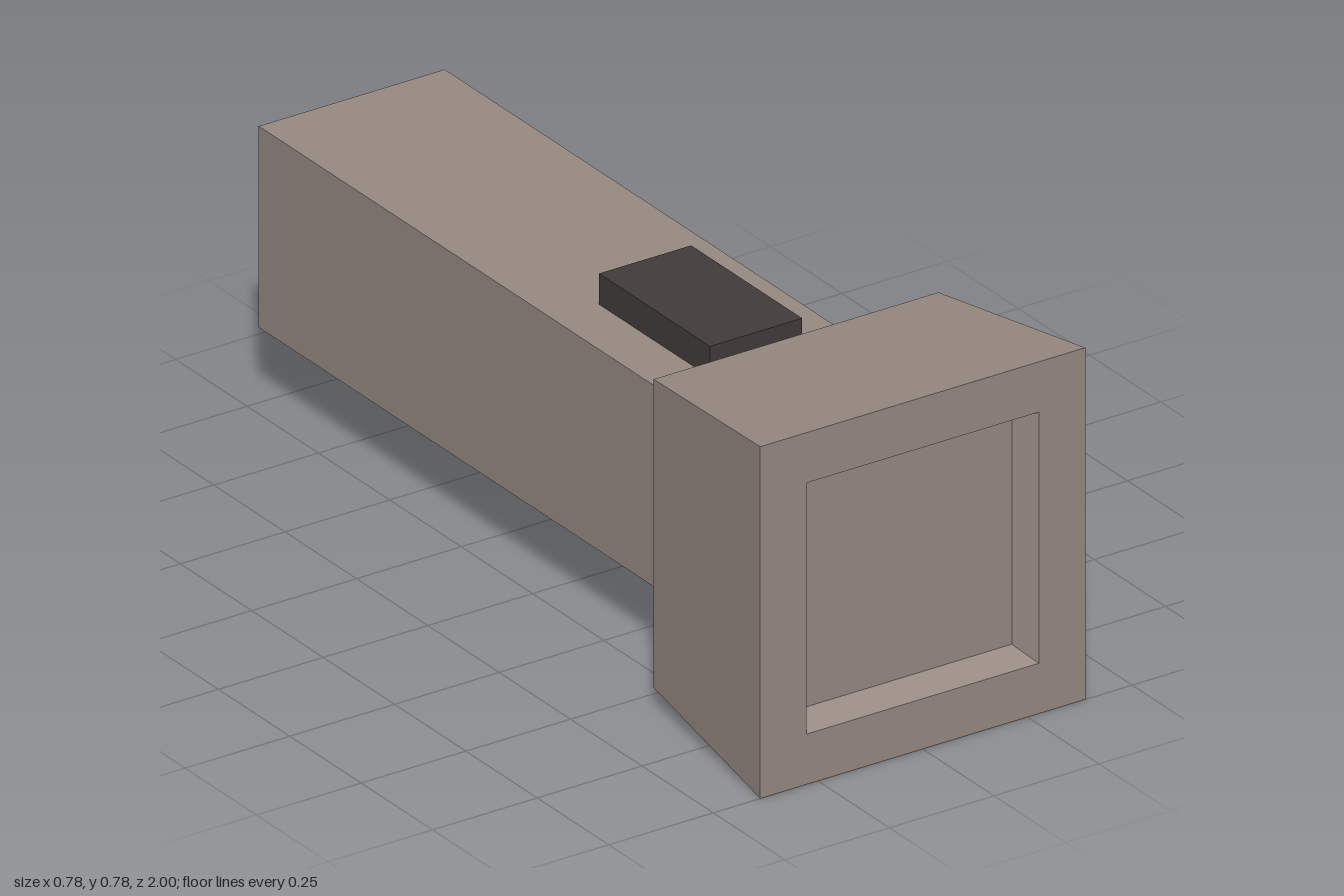
import * as THREE from 'three';

const CENTRE_Y = 0.39;

// Square solid along z from [halfWidth, z] pairs, ordered back to front
function squareLoft(profile) {
  const points = profile.map(([half, z]) => new THREE.Vector2(half * Math.SQRT2, z));
  const lathe = new THREE.LatheGeometry(points, 4, Math.PI / 4);
  lathe.rotateX(Math.PI / 2);
  const geometry = lathe.toNonIndexed();
  geometry.computeVertexNormals();
  return geometry;
}

export function createModel() {
  const casing = new THREE.MeshStandardMaterial({ color: 0x988b83 });
  casing.name = 'warm grey casing';
  const dark = new THREE.MeshStandardMaterial({ color: 0x423c3b });
  dark.name = 'dark switch';

  const model = new THREE.Group();
  model.name = 'flashlight';
  const add = (name, geometry, material, x, y, z) => {
    const mesh = new THREE.Mesh(geometry, material);
    mesh.name = name;
    mesh.position.set(x, y, z);
    model.add(mesh);
  };

  // Long square handle
  add('handle', new THREE.BoxGeometry(0.444, 0.444, 1.556), casing, 0, CENTRE_Y, -0.222);

  // Flared head with a bevelled recess in its front face
  const head = squareLoft([
    [0, 0.556], [0.34, 0.556], [0.388, 1], [0.277, 1], [0.25, 0.945], [0, 0.945],
  ]);
  add('head', head, casing, 0, CENTRE_Y, 0);

  // Switch on top of the handle
  add('switch', new THREE.BoxGeometry(0.22, 0.08, 0.389), dark, 0, 0.64, 0.222);

  return model;
}
